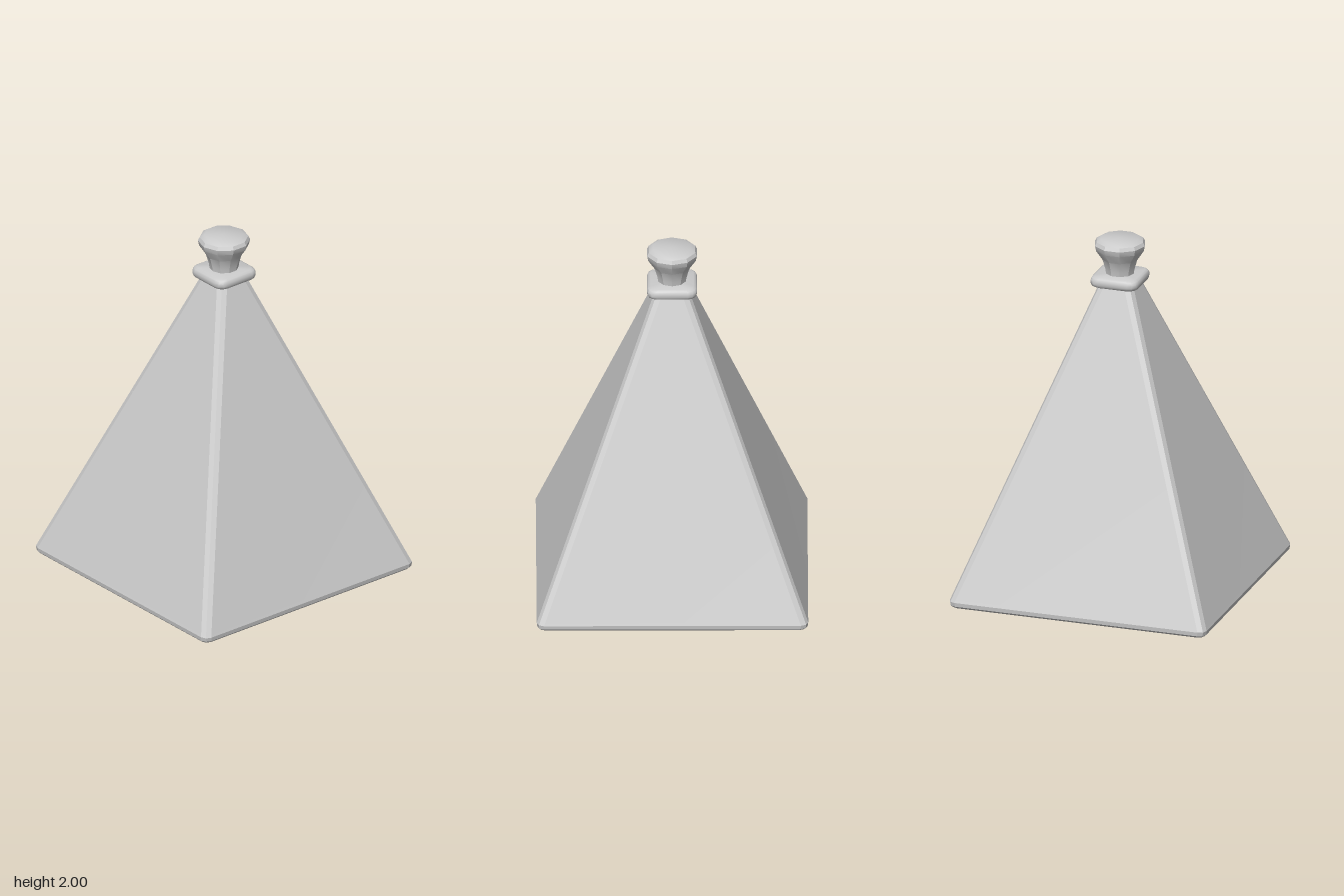
import * as THREE from 'three';
import { toCreasedNormals } from 'three/addons/utils/BufferGeometryUtils.js';

const material = new THREE.MeshStandardMaterial({ color: 0xcccccc });

// Outline of a square with rounded corners, running from +x towards +z.
function roundedSquare(half, radius, steps) {
  const points = [];
  for (let corner = 0; corner < 4; corner++) {
    const mid = Math.PI / 4 + corner * Math.PI / 2;
    const cx = Math.sign(Math.cos(mid)) * (half - radius);
    const cz = Math.sign(Math.sin(mid)) * (half - radius);
    for (let i = 0; i <= steps; i++) {
      const a = (corner + i / steps) * Math.PI / 2;
      points.push([cx + radius * Math.cos(a), cz + radius * Math.sin(a)]);
    }
  }
  return points;
}

// Joins square sections [y, half width, corner radius]; half width 0 closes an end.
function loftSquares(sections, steps, crease) {
  const rings = sections.map(([y, half, radius]) =>
    roundedSquare(half, radius, steps).map(([x, z]) => [x, y, z]));
  const positions = [];
  for (let s = 0; s < rings.length - 1; s++) {
    const a = rings[s], b = rings[s + 1];
    for (let j = 0; j < a.length; j++) {
      const k = (j + 1) % a.length;
      if (sections[s][1] > 0) positions.push(...a[j], ...b[j], ...a[k]);
      if (sections[s + 1][1] > 0) positions.push(...b[j], ...b[k], ...a[k]);
    }
  }
  const geometry = new THREE.BufferGeometry();
  geometry.setAttribute('position', new THREE.Float32BufferAttribute(positions, 3));
  return toCreasedNormals(geometry, crease);
}

export function createModel() {
  const group = new THREE.Group();
  const add = (name, geometry, mat = material) => {
    const mesh = new THREE.Mesh(geometry, mat);
    mesh.name = name;
    group.add(mesh);
    return mesh;
  };

  // Pyramid bottle with softened edges
  add('bottleBody', loftSquares([
    [0, 0, 0], [0, 0.73, 0.035], [0.012, 0.742, 0.04], [0.035, 0.745, 0.04],
    [0.05, 0.739, 0.04], [1.75, 0.096, 0.04], [1.75, 0, 0],
  ], 2, 0.2));

  // Rounded square collar around the neck
  add('collar', loftSquares([
    [1.735, 0, 0], [1.735, 0.118, 0.04], [1.743, 0.132, 0.048], [1.757, 0.138, 0.05],
    [1.775, 0.138, 0.05], [1.789, 0.132, 0.048], [1.797, 0.118, 0.04], [1.797, 0, 0],
  ], 3, 0.7));

  // Ten-sided flared stopper
  const profile = [
    [0, 1.78], [0.078, 1.78], [0.083, 1.82], [0.1, 1.88], [0.137, 1.935],
    [0.144, 1.965], [0.134, 1.985], [0.108, 2], [0, 2],
  ].map(([r, y]) => new THREE.Vector2(r, y));
  add('stopper', toCreasedNormals(new THREE.LatheGeometry(profile, 10), 0.55));

  // Slightly crooked label lying on the sloping front
  const paper = material.clone();
  paper.side = THREE.DoubleSide;
  const label = add('label', new THREE.PlaneGeometry(0.63, 0.162), paper);
  label.position.set(-0.005, 0.975, 0.402);
  label.rotation.set(-0.363, 0, 0.066);

  return group;
}
